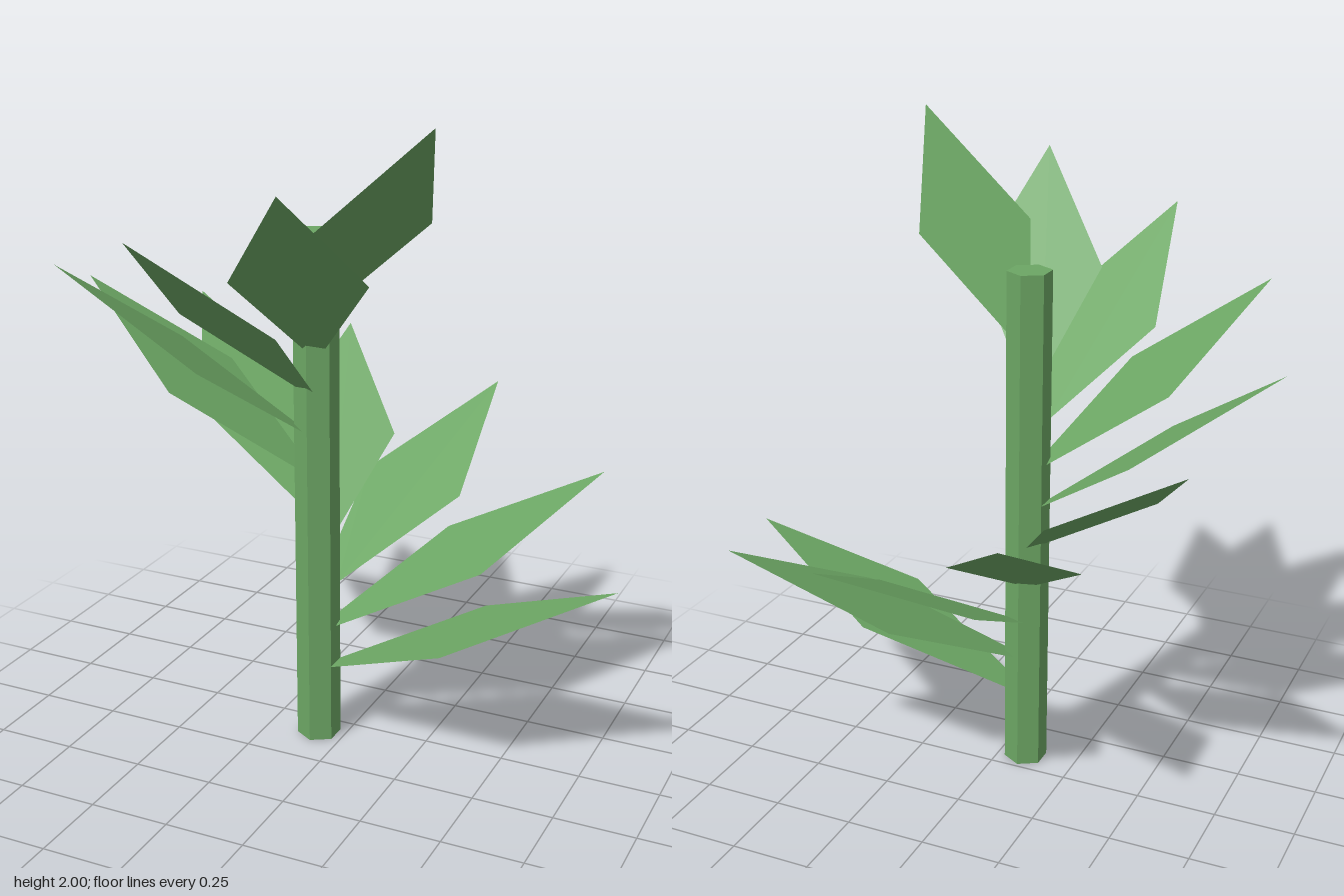
import * as THREE from 'three';

export function createModel() {
  const green = new THREE.MeshStandardMaterial({ color: 0x6ca664, side: THREE.DoubleSide, flatShading: true });
  green.name = 'leaf green';

  const plant = new THREE.Group();
  plant.name = 'plant';
  plant.position.set(-0.085, 0, 0.08);

  // Hexagonal stem
  const stem = new THREE.Mesh(new THREE.CylinderGeometry(0.068, 0.068, 1.62, 6), green);
  stem.name = 'stem';
  stem.position.y = 0.81;
  plant.add(stem);

  // Flat kite-shaped leaf with a narrow blunt base, growing along +x
  function makeLeaf(length, middle) {
    const shape = new THREE.Shape([
      new THREE.Vector2(0, -0.033),
      new THREE.Vector2(middle, -0.193),
      new THREE.Vector2(length, 0),
      new THREE.Vector2(middle, 0.193),
      new THREE.Vector2(0, 0.033),
    ]);
    return new THREE.Mesh(new THREE.ShapeGeometry(shape), green);
  }

  // Ten leaves spiral up the stem, getting shorter and steeper
  for (let i = 0; i < 10; i++) {
    const reach = 0.895 - 0.0339 * i;
    const rise = 0.415 + 0.0195 * i;
    const length = Math.hypot(reach, rise);
    const angle = (i * Math.PI) / 5;

    const leaf = makeLeaf(length, length * (0.482 - 0.0025 * i));
    leaf.name = `leaf${i + 1}`;
    leaf.position.set(0.05 * Math.cos(angle), 0.25 + 0.1289 * i, -0.05 * Math.sin(angle));
    leaf.rotation.set(-Math.PI / 2, angle, Math.atan2(rise, reach), 'YZX');
    plant.add(leaf);
  }

  const model = new THREE.Group();
  model.name = 'leafyStalk';
  model.add(plant);
  return model;
}
